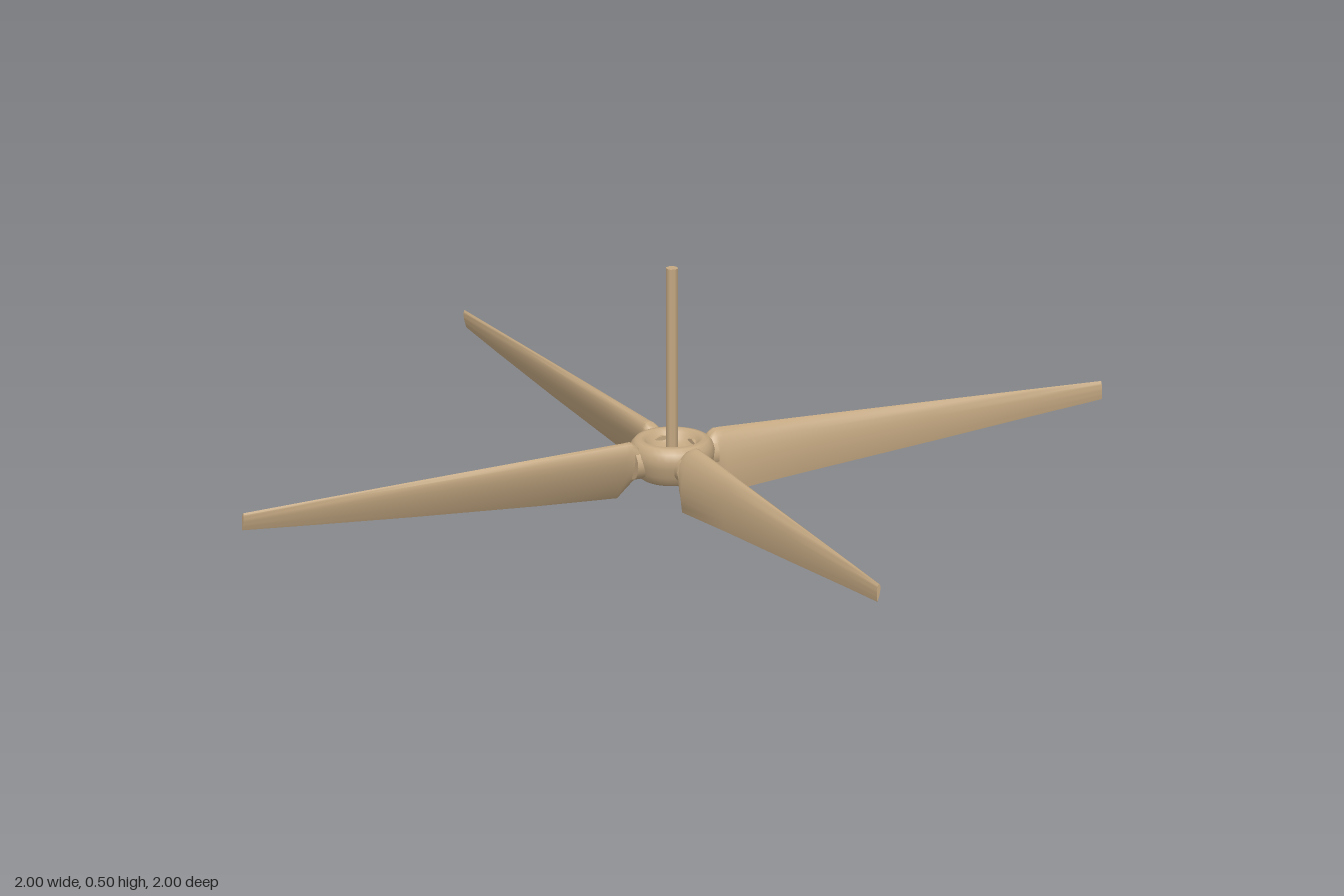
import * as THREE from 'three';
import { toCreasedNormals } from 'three/addons/utils/BufferGeometryUtils.js';

// Blade sections: [x, top y, bottom y, half thickness, z at top, z at bottom]
const SECTIONS = [
  [0.077, 0.115, 0.055, 0.026, 0, 0.004],
  [0.088, 0.128, 0.042, 0.026, -0.003, 0.013],
  [0.1, 0.135, 0.021, 0.024, -0.005, 0.023],
  [0.113, 0.135, 0.002, 0.022, -0.006, 0.031],
  [0.3, 0.13, 0.015, 0.016, -0.004, 0.021],
  [0.6, 0.121, 0.037, 0.01, -0.002, 0.012],
  [0.85, 0.113, 0.057, 0.006, -0.001, 0.006],
  [1, 0.108, 0.069, 0.004, 0, 0.004],
];
const HALF = 10;

// Teardrop outline: round leading edge on top, thin trailing edge below
function sectionLoop([x, top, bottom, thick, zTop, zBottom], roundness) {
  const points = [];
  for (let j = 0; j < HALF * 2; j++) {
    const a = (j / HALF) * Math.PI;
    const t = (1 - Math.cos(a)) / 2;
    const foil = 1.3 * (1 - t) ** 0.5;
    const width = thick * Math.sin(a) * (foil + (1 - foil) * roundness);
    points.push(x, top + (bottom - top) * t, zTop + (zBottom - zTop) * t + width);
  }
  return points;
}

function bladeGeometry() {
  const n = HALF * 2;
  const positions = [];
  const index = [];
  SECTIONS.forEach((s, i) => positions.push(...sectionLoop(s, Math.max(0, 1 - i / 3))));
  const last = SECTIONS.length - 1;
  const centres = [SECTIONS[0], SECTIONS[last]].map((s) => {
    positions.push(s[0], (s[1] + s[2]) / 2, (s[4] + s[5]) / 2);
    return positions.length / 3 - 1;
  });
  for (let j = 0; j < n; j++) {
    const k = (j + 1) % n;
    for (let i = 0; i < last; i++) {
      const a = i * n + j, b = i * n + k;
      index.push(a, b, a + n, b, b + n, a + n);
    }
    index.push(centres[0], k, j, centres[1], last * n + j, last * n + k);
  }
  const geometry = new THREE.BufferGeometry();
  geometry.setAttribute('position', new THREE.Float32BufferAttribute(positions, 3));
  geometry.setIndex(index);
  return toCreasedNormals(geometry, 0.8);
}

export function createModel() {
  const group = new THREE.Group();
  const tan = new THREE.MeshStandardMaterial({ color: 0xc4a882 });
  tan.name = 'tan';

  const add = (parent, name, geometry) => {
    const mesh = new THREE.Mesh(geometry, tan);
    mesh.name = name;
    parent.add(mesh);
    return mesh;
  };

  // Round hub with a dished top and a shallow hollow underneath
  const profile = [
    [0, 0.07], [0.04, 0.065], [0.052, 0.047], [0.064, 0.043], [0.074, 0.05],
    [0.08, 0.065], [0.088, 0.085], [0.09, 0.102], [0.086, 0.118], [0.077, 0.128],
    [0.066, 0.13], [0.056, 0.124], [0.048, 0.112], [0.036, 0.102], [0, 0.1],
  ].map(([r, y]) => new THREE.Vector2(r, y));
  add(group, 'hub', new THREE.LatheGeometry(profile, 32));

  // Upright shaft
  const shaft = add(group, 'shaft', new THREE.CylinderGeometry(0.013, 0.013, 0.425, 8));
  shaft.position.y = 0.2925;

  // Four identical blades, each on a short round neck
  const blade = bladeGeometry();
  const neck = new THREE.CylinderGeometry(0.034, 0.034, 0.05, 16);
  neck.rotateZ(Math.PI / 2).translate(0.07, 0.085, 0);
  for (let i = 0; i < 4; i++) {
    const arm = new THREE.Group();
    arm.name = `bladeArm${i + 1}`;
    arm.rotation.y = (i * Math.PI) / 2;
    add(arm, 'blade', blade);
    add(arm, 'bladeNeck', neck);
    group.add(arm);
  }
  return group;
}
